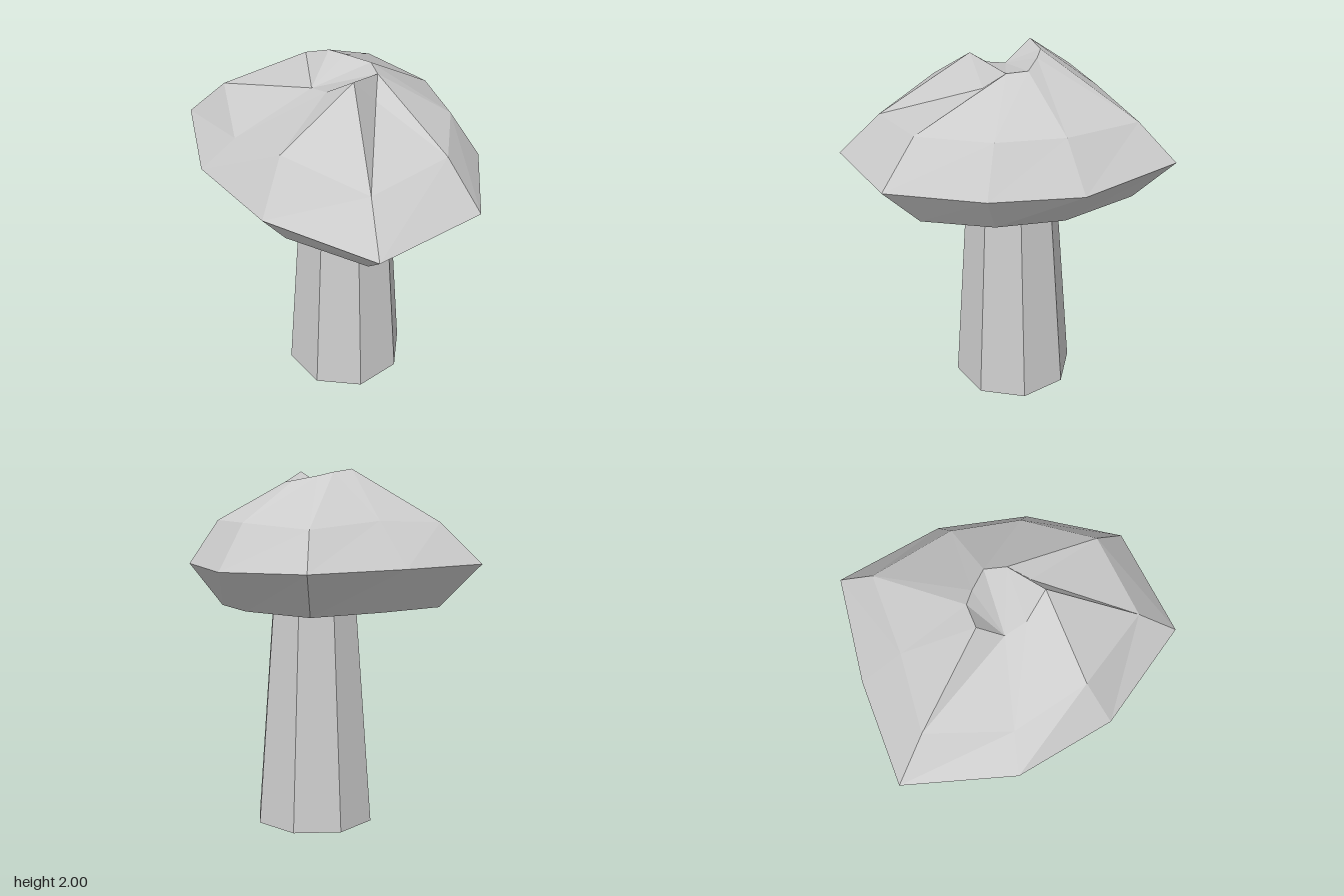
import * as THREE from 'three';

const grey = new THREE.MeshStandardMaterial({ color: 0xcccccc, flatShading: true });
grey.name = 'pale grey';

// Nine-sided rings of the cap, from the left, round the front, to the back.
const rim = [
  [-0.89, 1.485, 0.155], [-0.5, 1.485, 0.59], [0, 1.48, 0.79],
  [0.62, 1.462, 0.775], [0.89, 1.487, 0.245], [0.68, 1.48, -0.23],
  [0.34, 1.46, -0.575], [-0.22, 1.475, -0.79], [-0.59, 1.48, -0.33],
];
const shoulder = [
  [-0.66, 1.71, 0.13], [-0.37, 1.64, 0.46], [0, 1.75, 0.61],
  [0.48, 1.675, 0.6], [0.68, 1.72, 0.2], [0.53, 1.72, -0.17],
  [0.27, 1.71, -0.42], [-0.16, 1.68, -0.59], [-0.41, 1.72, -0.2],
];
const crown = [
  [-0.17, 2, 0.08], [-0.08, 1.87, 0.18], [0.03, 1.9, 0.225],
  [0.18, 1.995, 0.22], [0.24, 1.845, 0.1], [0.19, 1.93, -0.01],
  [0.11, 1.935, -0.09], [-0.02, 1.96, -0.06], [-0.1, 1.98, -0.03],
];
// The underside is a smaller, flat copy of the rim.
const base = rim.map(([x, , z]) => [x * 0.75 + 0.005, 1.245, z * 0.75 + 0.015]);

function capGeometry() {
  const rings = [base, rim, shoulder, crown];
  const n = rim.length;
  const points = [];
  const tri = (a, b, c) => points.push(...a, ...b, ...c);

  // Bands between neighbouring rings
  for (let r = 0; r < rings.length - 1; r++) {
    const lo = rings[r], hi = rings[r + 1];
    for (let k = 0; k < n; k++) {
      const m = (k + 1) % n;
      tri(lo[k], lo[m], hi[m]);
      tri(lo[k], hi[m], hi[k]);
    }
  }
  // Flat underside
  for (let k = 1; k < n - 1; k++) tri(base[0], base[k + 1], base[k]);
  // Crumpled crown
  const folds = [[0, 1, 8], [1, 7, 8], [1, 6, 7], [1, 5, 6], [1, 2, 5], [2, 3, 5], [3, 4, 5]];
  folds.forEach(([a, b, c]) => tri(crown[a], crown[b], crown[c]));

  const geometry = new THREE.BufferGeometry();
  geometry.setAttribute('position', new THREE.Float32BufferAttribute(points, 3));
  geometry.computeVertexNormals();
  return geometry;
}

export function createModel() {
  const model = new THREE.Group();
  model.name = 'mushroom';

  // Tapered eight-sided stem
  const stem = new THREE.Mesh(new THREE.CylinderGeometry(0.25, 0.345, 1.245, 8), grey);
  stem.name = 'stem';
  stem.position.set(0.045, 0.6225, 0.06);

  const cap = new THREE.Mesh(capGeometry(), grey);
  cap.name = 'cap';

  model.add(stem, cap);
  return model;
}
